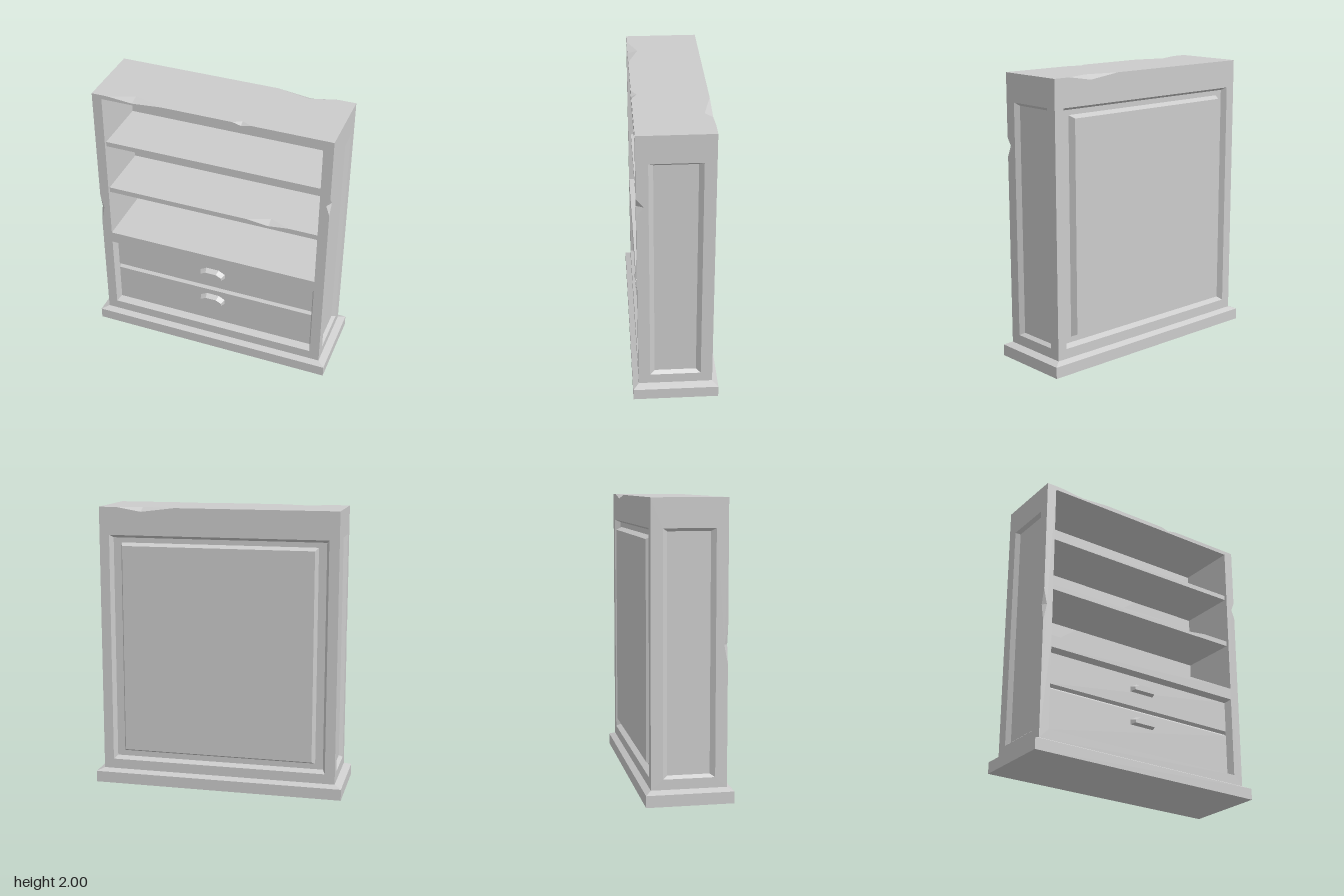
import * as THREE from 'three';

const W = 0.845, D = 0.255, H = 2, FOOT = 0.1;
const material = new THREE.MeshStandardMaterial({ color: 0xcccccc, flatShading: true, side: THREE.DoubleSide });

function add(parent, name, geometry) {
  const mesh = new THREE.Mesh(geometry, material);
  mesh.name = name;
  parent.add(mesh);
  return mesh;
}

function fromTriangles(points) {
  const g = new THREE.BufferGeometry();
  g.setAttribute('position', new THREE.Float32BufferAttribute(points.flat(), 3));
  g.computeVertexNormals();
  return g;
}

// Counter-clockwise rectangle at height z
const rect = (x0, x1, y0, y1, z) => [[x0, y0, z], [x1, y0, z], [x1, y1, z], [x0, y1, z]];

// Joins successive loops with flat bands; the last loop may be capped
function stepped(loops, cap = true) {
  const tris = [];
  for (let k = 0; k + 1 < loops.length; k++) {
    const a = loops[k], b = loops[k + 1];
    a.forEach((p, i) => {
      const j = (i + 1) % a.length;
      tris.push(p, a[j], b[j], p, b[j], b[i]);
    });
  }
  const end = loops[loops.length - 1];
  if (cap) for (let i = 1; i + 1 < end.length; i++) tris.push(end[0], end[i], end[i + 1]);
  return fromTriangles(tris);
}

// Flat board with optional rectangular openings
function board(outline, openings = []) {
  const toPoints = (list) => list.map(([x, y]) => new THREE.Vector2(x, y));
  const shape = new THREE.Shape(toPoints(outline));
  openings.forEach((o) => shape.holes.push(new THREE.Path(toPoints(rect(...o, 0)).reverse())));
  return new THREE.ShapeGeometry(shape);
}

// Two facets of a chip knocked out of an edge a-b, reaching p and q on the adjoining faces
const chip = (a, b, p, q) => fromTriangles([a, p, q, b, q, p]);

export function createModel() {
  const model = new THREE.Group();
  model.name = 'bookcase';

  // Plinth with a bevelled top
  const plinth = (x, z, y) => rect(-x, x, -z, z, y);
  add(model, 'plinth', stepped([
    plinth(0, 0, 0), plinth(0.895, 0.295, 0), plinth(0.895, 0.295, 0.08), plinth(W, D, FOOT),
  ]).rotateX(-Math.PI / 2));

  // Front frame with shelf and drawer openings
  const shelfHole = [-0.775, 0.775, 0.835, 1.97];
  const drawerHole = [-0.775, 0.775, 0.17, 0.75];
  const front = new THREE.Group();
  front.name = 'front';
  front.position.z = D;
  model.add(front);
  add(front, 'frontFrame', board([
    [-W, FOOT], [W, FOOT], [W, 1.43], [0.82, 1.5], [W, 1.56], [W, H],
    [0.29, H], [0.22, 1.985], [0.16, H], [-0.34, H], [-0.55, 1.983], [-0.73, H],
    [-W, H], [-W, 1.16], [-0.82, 1.05], [-W, 0.92],
  ], [shelfHole, drawerHole]));
  add(front, 'shelfCompartment', stepped([rect(...shelfHole, 0), rect(...shelfHole, -0.455)]));
  add(front, 'drawerSurround', stepped(
    [rect(...drawerHole, 0), rect(-0.755, 0.755, 0.19, 0.733, -0.05)], false));

  // Drawer fronts meeting in a V groove, each with a cup pull
  function drawer(name, profile, pullY) {
    const shape = new THREE.Shape(profile.map(([z, y]) => new THREE.Vector2(-z, y)));
    add(front, name, new THREE.ExtrudeGeometry(shape, { depth: 1.51, bevelEnabled: false })
      .rotateY(Math.PI / 2).translate(-0.755, 0, 0));
    const cup = (w, y0, y1, y2, z) =>
      [[-w, y0, z], [w, y0, z], [w, y1, z], [w / 2, y2, z], [-w / 2, y2, z], [-w, y1, z]];
    add(front, name + 'Handle', stepped([
      cup(0.095, 0, 0.035, 0.062, 0), cup(0.08, 0.006, 0.027, 0.048, 0.04),
    ])).position.set(-0.003, pullY, -0.05);
  }
  drawer('upperDrawer', [[-0.05, 0.733], [-0.05, 0.51], [-0.07, 0.492], [-0.1, 0.492], [-0.1, 0.733]], 0.615);
  drawer('lowerDrawer', [[-0.07, 0.492], [-0.05, 0.475], [-0.05, 0.19], [-0.1, 0.19], [-0.1, 0.492]], 0.372);

  // Shelves, the lower one chipped on its front edge
  const shelfZ = 0.235, shelfBack = -0.2, sw = 0.775;
  function shelf(name, y0, y1, chipped) {
    const g = new THREE.Group();
    g.name = name;
    model.add(g);
    const topNotch = chipped ? [[0.26, -shelfZ], [0.42, -0.17], [0.56, -shelfZ]] : [];
    const frontNotch = chipped ? [[0.56, y1], [0.42, y1 - 0.018], [0.26, y1]] : [];
    const backEdge = [[sw, -shelfBack], [-sw, -shelfBack]];
    add(g, 'shelfTop', board([[-sw, -shelfZ], ...topNotch, [sw, -shelfZ], ...backEdge])
      .rotateX(-Math.PI / 2).translate(0, y1, 0));
    add(g, 'shelfUnderside', board([[-sw, shelfBack], [sw, shelfBack], [sw, shelfZ], [-sw, shelfZ]])
      .rotateX(Math.PI / 2).translate(0, y0, 0));
    add(g, 'shelfEdge', board([[-sw, y0], [sw, y0], [sw, y1], ...frontNotch, [-sw, y1]])
      .translate(0, 0, shelfZ));
    if (chipped) add(g, 'shelfChip', chip(
      [0.26, y1, shelfZ], [0.56, y1, shelfZ], [0.42, y1, 0.17], [0.42, y1 - 0.018, shelfZ]));
  }
  shelf('upperShelf', 1.58, 1.615, false);
  shelf('middleShelf', 1.19, 1.228, true);

  // Sides with a sunken panel
  const sideHole = [-0.175, 0.175, 0.17, 1.805];
  const notches = {
    left: [[-D, 1.56], [-0.205, 1.5], [-D, 1.43]],
    right: [[D, 0.92], [0.23, 1.05], [D, 1.16]],
  };
  for (const [name, sign] of [['left', 1], ['right', -1]]) {
    const side = new THREE.Group();
    side.name = name + 'Side';
    side.position.x = sign * W;
    side.rotation.y = sign * Math.PI / 2;
    model.add(side);
    const outline = [[-D, FOOT], [D, FOOT],
      ...(sign < 0 ? notches.right : []), [D, H], [-D, H], ...(sign > 0 ? notches.left : [])];
    add(side, 'sideFrame', board(outline, [sideHole]));
    add(side, 'sidePanel', stepped([rect(...sideHole, 0), rect(-0.143, 0.143, 0.19, 1.785, -0.025)]));
  }

  // Back with a raised panel inside a sunken border
  const back = new THREE.Group();
  back.name = 'back';
  back.position.z = -D;
  back.rotation.y = Math.PI;
  model.add(back);
  const backHole = [-0.775, 0.775, 0.17, 1.805];
  add(back, 'backFrame', board([
    [-W, FOOT], [W, FOOT], [W, H], [-0.3, H], [-0.54, 1.97], [-0.72, H], [-W, H],
  ], [backHole]));
  add(back, 'backPanel', stepped([
    rect(...backHole, 0), rect(-0.755, 0.755, 0.19, 1.785, -0.04),
    rect(-0.7, 0.7, 0.23, 1.75, -0.04), rect(-0.68, 0.68, 0.25, 1.73, 0.003),
  ]));

  // Top board
  add(model, 'top', board([
    [-W, -D], [-0.73, -D], [-0.55, -0.185], [-0.34, -D], [0.16, -D], [0.22, -0.22], [0.29, -D],
    [W, -D], [W, D], [0.72, D], [0.54, 0.2], [0.3, D], [-W, D],
  ]).rotateX(-Math.PI / 2).translate(0, H, 0));

  // Chips along the outer edges
  [
    [[-0.73, H, D], [-0.34, H, D], [-0.55, H, 0.185], [-0.55, 1.983, D]],
    [[0.16, H, D], [0.29, H, D], [0.22, H, 0.22], [0.22, 1.985, D]],
    [[0.72, H, -D], [0.3, H, -D], [0.54, H, -0.2], [0.54, 1.97, -D]],
    [[W, 1.56, D], [W, 1.43, D], [W, 1.5, 0.205], [0.82, 1.5, D]],
    [[-W, 0.92, D], [-W, 1.16, D], [-W, 1.05, 0.23], [-0.82, 1.05, D]],
  ].forEach((c) => add(model, 'edgeChip', chip(...c)));

  return model;
}
